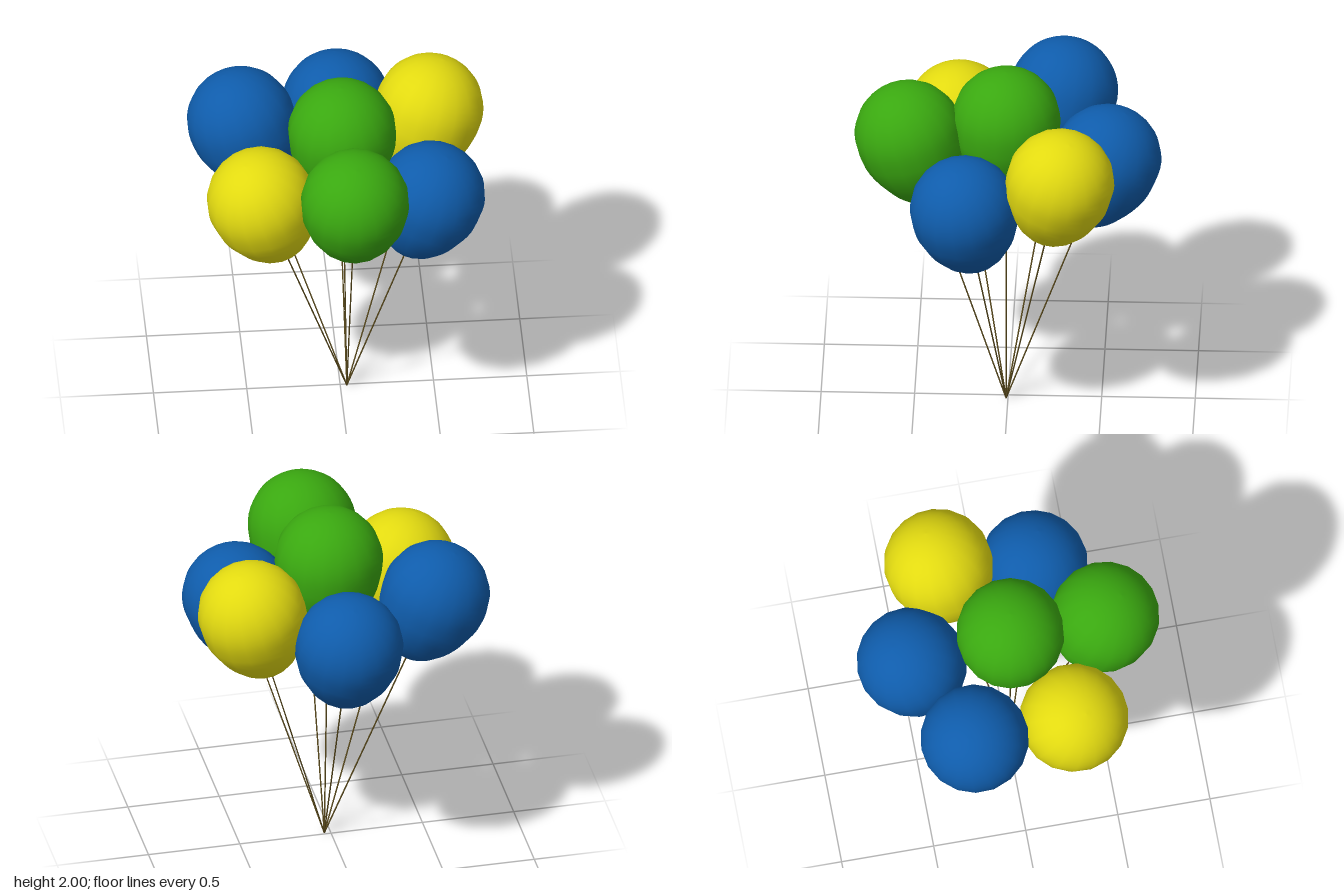
import * as THREE from 'three';

const UP = new THREE.Vector3(0, 1, 0);
const GATHER = new THREE.Vector3(0.035, 0, 0.01); // where all strings meet
const TIP = 0.43; // from the widest ring down to the neck
const R = 0.29;

const material = (color) => new THREE.MeshStandardMaterial({ color });
const blue = material(0x0f5cab);
const green = material(0x3aa810);
const yellow = material(0xe2da10);
const twine = material(0x5a4a1c);

// Balloon skin: teardrop below, half sphere above, origin at the widest ring
function makeBalloonGeometry() {
  const lower = new THREE.SplineCurve([
    [0.008, -TIP], [0.065, -0.41], [0.12, -0.375], [0.19, -0.3],
    [0.247, -0.2], [0.281, -0.1], [R, 0],
  ].map(([x, y]) => new THREE.Vector2(x, y))).getPoints(14);
  const upper = [];
  for (let i = 1; i <= 12; i++) {
    const a = (i / 12) * Math.PI / 2;
    upper.push(new THREE.Vector2(i === 12 ? 0 : R * Math.cos(a), R * Math.sin(a)));
  }
  return new THREE.LatheGeometry([...lower, ...upper], 18);
}

// Balloon centres
const balloons = [
  { name: 'middle', at: [0.01, 1.71, 0.01], skin: green },
  { name: 'front', at: [0.04, 1.63, 0.53], skin: green },
  { name: 'frontLeft', at: [0.47, 1.42, 0.22], skin: blue },
  { name: 'backLeft', at: [0.5, 1.615, -0.295], skin: yellow },
  { name: 'back', at: [0.02, 1.49, -0.53], skin: blue },
  { name: 'backRight', at: [-0.51, 1.595, -0.28], skin: blue },
  { name: 'frontRight', at: [-0.445, 1.475, 0.275], skin: yellow },
];

export function createModel() {
  const model = new THREE.Group();
  model.name = 'balloonBunch';
  const skinGeometry = makeBalloonGeometry();
  const knotGeometry = new THREE.CylinderGeometry(0.006, 0.016, 0.02, 10);

  for (const { name, at, skin } of balloons) {
    // Each balloon leans along its own string
    const reach = new THREE.Vector3(...at).sub(GATHER);
    const group = new THREE.Group();
    group.name = name + 'Balloon';
    group.position.copy(GATHER);
    group.quaternion.setFromUnitVectors(UP, reach.clone().normalize());

    const add = (part, geometry, mat, y) => {
      const mesh = new THREE.Mesh(geometry, mat);
      mesh.name = part;
      mesh.position.y = y;
      group.add(mesh);
    };
    const centre = reach.length();
    const stringLength = centre - TIP;
    add('skin', skinGeometry, skin, centre);
    add('knot', knotGeometry, skin, stringLength - 0.008);
    add('string', new THREE.CylinderGeometry(0.004, 0.004, stringLength, 6), twine, stringLength / 2);
    model.add(group);
  }
  return model;
}
